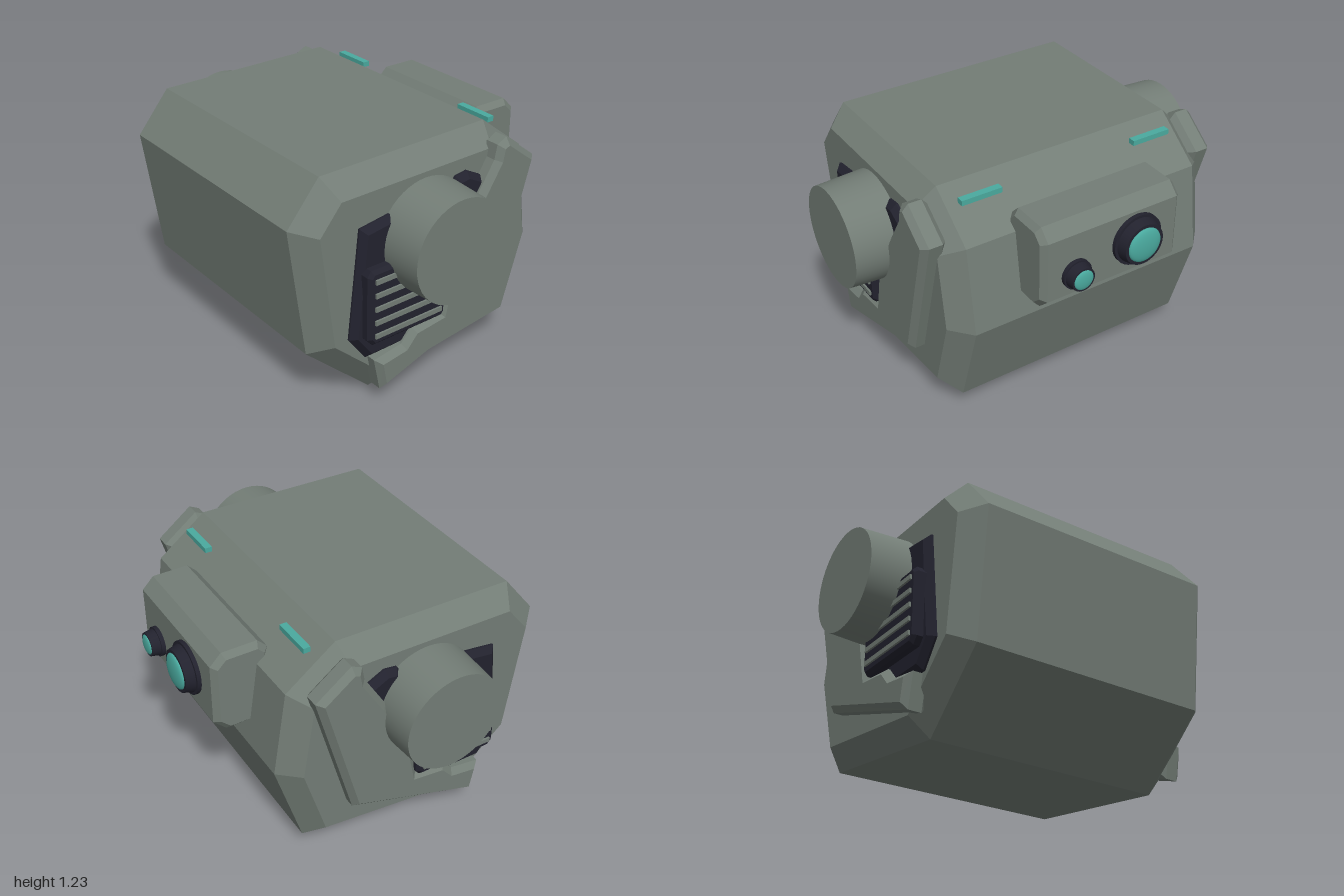
import * as THREE from 'three';

export function createModel() {
  const model = new THREE.Group();
  model.name = 'robotHead';
  const mat = (name, color) => {
    const m = new THREE.MeshStandardMaterial({ color });
    m.name = name;
    return m;
  };
  const grey = mat('greyGreen', 0x737d76);
  const dark = mat('darkNavy', 0x22222e);
  const teal = mat('tealGlow', 0x4aaa9f);

  const add = (parent, name, geometry, material) => {
    const mesh = new THREE.Mesh(geometry, material);
    mesh.name = name;
    parent.add(mesh);
    return mesh;
  };

  // Bevelled prism: [z, y] outline, running along x from x0 to x1 on the given side
  const prism = (points, x0, x1, bevel, side = 1) => {
    const shape = new THREE.Shape(points.map(([z, y]) => new THREE.Vector2(-side * z, y)));
    const g = new THREE.ExtrudeGeometry(shape, {
      depth: x1 - x0 - 2 * bevel, steps: 1, bevelEnabled: true, bevelSegments: 1,
      bevelSize: bevel, bevelThickness: bevel, bevelOffset: -bevel,
    });
    g.translate(0, 0, x0 + bevel);
    return g.rotateY(side * Math.PI / 2);
  };

  // Main shell
  add(model, 'shell', prism([
    [0.857, 1.003], [0.683, 1.213], [-0.281, 1.227], [-0.54, 1.03],
    [-0.606, 0.578], [-0.459, 0.103], [0.405, 0], [0.77, 0.336],
  ], -0.75, 0.75, 0.1), grey);

  // Side assemblies
  const panelOutline = [
    [0.546, 0.958], [0.377, 0.982], [0.25, 0.9], [0.05, 0.95], [-0.016, 1.05],
    [-0.085, 1.06], [-0.2, 1.0], [-0.13, 0.6], [0.2, 0.27], [0.51, 0.27], [0.605, 0.4],
  ];
  const plateOutline = [
    [0.49, 0.265], [0.455, 0.09], [-0.267, 0.327], [-0.475, 1.05], [-0.29, 1.19],
    [-0.235, 1.163], [-0.22, 1.09], [-0.1, 0.9], [0.05, 0.6], [0.1, 0.38],
    [0.265, 0.36], [0.327, 0.29],
  ];
  const ventOutline = [
    [0.53, 0.77], [0.55, 0.74], [0.55, 0.41], [0.52, 0.375],
    [0.107, 0.375], [0.085, 0.4], [0.085, 0.74], [0.11, 0.77],
  ];
  for (const side of [1, -1]) {
    const group = new THREE.Group();
    group.name = side > 0 ? 'leftSide' : 'rightSide';
    model.add(group);
    add(group, 'recessPanel', prism(panelOutline, 0.69, 0.79, 0.03, side), dark);
    add(group, 'cheekPlate', prism(plateOutline, 0.7, 0.83, 0.03, side), grey);
    add(group, 'ventBlock', prism(ventOutline, 0.72, 0.84, 0.018, side), dark);
    for (let i = 0; i < 5; i++) {
      add(group, 'ventSlat', new THREE.BoxGeometry(0.03, 0.024, 0.4), grey)
        .position.set(side * 0.835, 0.43 + i * 0.0715, 0.318);
    }
    // Round ear drum, narrowing slightly outwards
    const drum = add(group, 'earDrum', new THREE.CylinderGeometry(0.262, 0.277, 0.3, 48), grey);
    drum.rotation.z = -side * Math.PI / 2;
    drum.position.set(side * 0.85, 0.818, 0.155);
    // Light bar over the rear slope
    add(group, 'lightBar', new THREE.BoxGeometry(0.215, 0.027, 0.037), teal)
      .position.set(side * 0.483, 1.181, -0.391);
  }

  // Rear sensor housing
  add(model, 'sensorHousing', prism([
    [-0.47, 1.09], [-0.52, 1.14], [-0.706, 1.14], [-0.766, 1.08],
    [-0.766, 0.755], [-0.70, 0.692], [-0.52, 0.692], [-0.47, 0.74],
  ], -0.39, 0.39, 0.028), grey);

  // Rear lenses: collar, barrel and domed glass
  const lens = (name, x, y, r, length) => {
    const group = new THREE.Group();
    group.name = name;
    group.position.set(x, y, -0.76);
    group.rotation.x = -Math.PI / 2;
    model.add(group);
    add(group, 'collar', new THREE.CylinderGeometry(r, r, 0.03, 32), dark).position.y = 0.012;
    add(group, 'barrel', new THREE.CylinderGeometry(r * 0.8, r * 0.95, length, 32), dark)
      .position.y = length / 2;
    const dome = new THREE.SphereGeometry(r * 0.68, 32, 8, 0, Math.PI * 2, 0, Math.PI / 2);
    dome.scale(1, 0.25, 1);
    add(group, 'glass', dome, teal).position.y = length;
  };
  lens('largeLens', -0.13, 0.93, 0.135, 0.074);
  lens('smallLens', 0.21, 0.865, 0.077, 0.072);

  return model;
}
